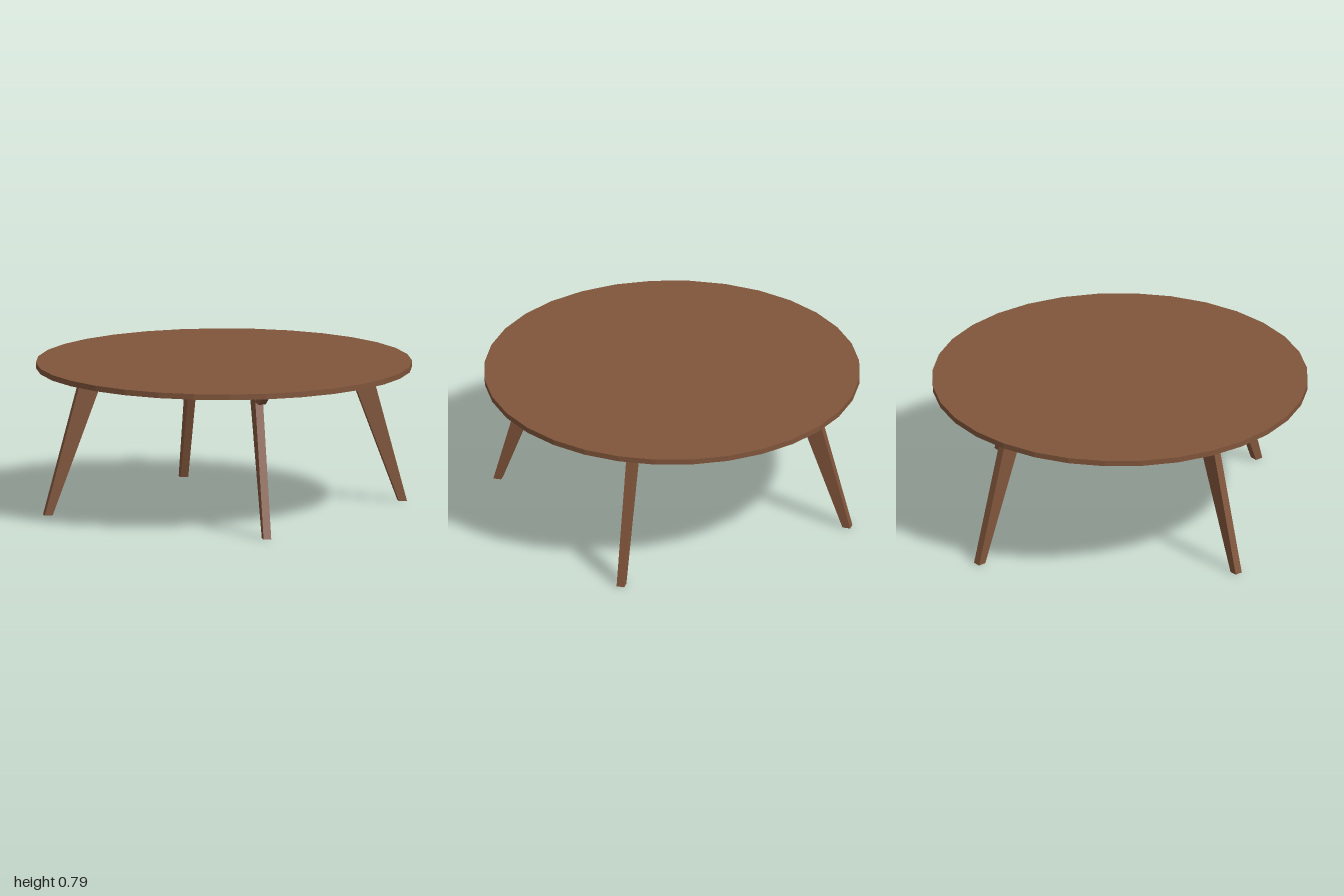
import * as THREE from 'three';

const TOP_UNDERSIDE = 0.76;
const TOP_THICKNESS = 0.03;
const FRAME_Z = -0.01;

// Flat board cut from a side profile, centred on its thickness
function board(points, thickness, material, name) {
  const shape = new THREE.Shape(points.map(([x, y]) => new THREE.Vector2(x, y)));
  const geometry = new THREE.ExtrudeGeometry(shape, { depth: thickness, bevelEnabled: false });
  geometry.translate(0, 0, -thickness / 2);
  const mesh = new THREE.Mesh(geometry, material);
  mesh.name = name;
  return mesh;
}

export function createModel() {
  const model = new THREE.Group();
  model.name = 'roundTable';
  const wood = new THREE.MeshStandardMaterial({ color: 0x80553b, flatShading: true });
  wood.name = 'walnut wood';

  // Round faceted top
  const top = new THREE.Mesh(new THREE.CylinderGeometry(1, 1, TOP_THICKNESS, 32), wood);
  top.name = 'tableTop';
  top.position.y = TOP_UNDERSIDE + TOP_THICKNESS / 2;
  model.add(top);

  // Frame of crossed beams and splayed legs, set on the diagonals
  const frame = new THREE.Group();
  frame.name = 'frame';
  frame.position.z = FRAME_Z;
  model.add(frame);

  // Crossed beams with slanted ends
  const beamProfile = [[-0.86, 0.705], [0.86, 0.705], [0.96, TOP_UNDERSIDE], [-0.96, TOP_UNDERSIDE]];
  for (let i = 0; i < 2; i++) {
    const beam = board(beamProfile, 0.038, wood, 'crossBeam');
    beam.rotation.y = Math.PI / 4 + i * Math.PI / 2;
    frame.add(beam);
  }

  // Four tapered legs leaning outwards
  const legProfile = [[0.945, 0], [0.988, 0], [0.782, TOP_UNDERSIDE], [0.658, TOP_UNDERSIDE]];
  for (let i = 0; i < 4; i++) {
    const leg = board(legProfile, 0.042, wood, 'leg');
    leg.rotation.y = Math.PI / 4 + i * Math.PI / 2;
    frame.add(leg);
  }

  return model;
}
